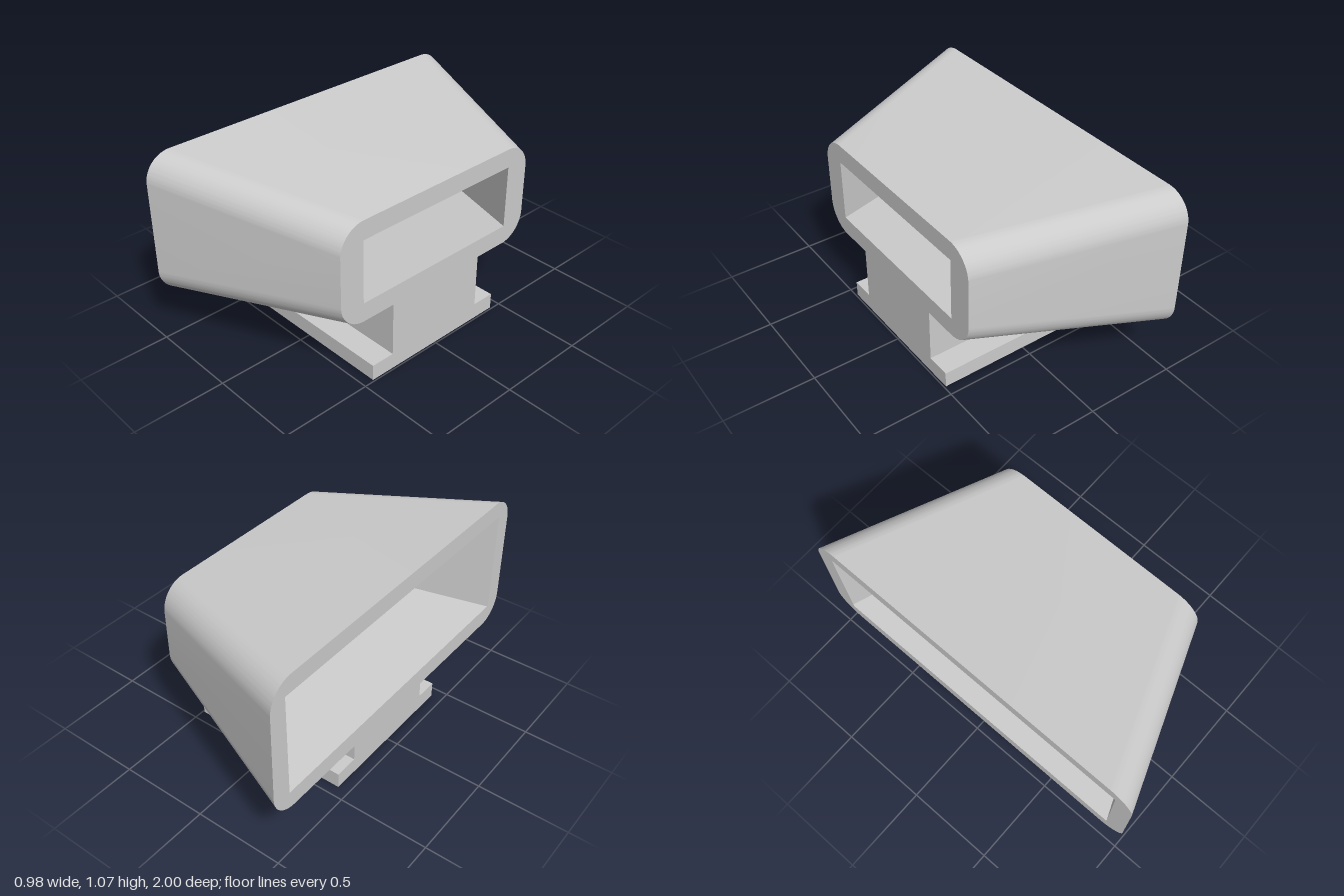
import * as THREE from 'three';
import { toCreasedNormals } from 'three/addons/utils/BufferGeometryUtils.js';

const material = new THREE.MeshStandardMaterial({ color: 0xcccccc });
const X_MIN = -0.49, X_MAX = 0.49;

// Extrude a (z, y) profile along x from x0 to x1; rule(v, atStart) reshapes the ends.
function extrudeAlongX(shape, x0, x1, rule) {
  const geo = new THREE.ExtrudeGeometry(shape, { depth: x1 - x0, bevelEnabled: false, curveSegments: 14 });
  const pos = geo.attributes.position;
  const v = new THREE.Vector3();
  for (let i = 0; i < pos.count; i++) {
    v.fromBufferAttribute(pos, i);
    rule(v, v.z < 0.01);
    pos.setXYZ(i, v.x, v.y, v.z);
  }
  geo.rotateY(Math.PI / 2).translate(x0, 0, 0);
  return toCreasedNormals(geo, 0.5);
}

function roundedRect(w, h, r) {
  const s = new THREE.Shape();
  s.absarc(w - r, h - r, r, 0, Math.PI / 2);
  s.absarc(-w + r, h - r, r, Math.PI / 2, Math.PI);
  s.absarc(-w + r, -h + r, r, Math.PI, Math.PI * 1.5);
  s.absarc(w - r, -h + r, r, Math.PI * 1.5, Math.PI * 2);
  s.closePath();
  return s;
}

export function createModel() {
  const group = new THREE.Group();

  // Tapered hollow sleeve: rounded outside, square-cornered opening
  const w = 0.5, h = 0.175;
  const sleeveShape = roundedRect(0.64, 0.28, 0.145);
  const opening = new THREE.Path();
  opening.moveTo(-w, -h).lineTo(-w, h).lineTo(w, h).lineTo(w, -h).closePath();
  sleeveShape.holes.push(opening);
  const sleeveGeo = extrudeAlongX(sleeveShape, X_MIN, X_MAX, (v, atStart) => {
    // Spread each corner outward at the wide end
    if (atStart) {
      const inner = Math.abs(v.x) < w + 0.001 && Math.abs(v.y) < h + 0.001;
      v.x += Math.sign(v.x) * (inner ? 0.4 : 0.36);
      v.y += Math.sign(v.y) * (inner ? 0.12 : 0.115);
    }
    v.y += 0.675;
  });
  const sleeve = new THREE.Mesh(sleeveGeo, material);
  sleeve.name = 'sleeve';
  group.add(sleeve);

  // T-shaped foot whose top follows the sloping underside of the sleeve
  const flange = 0.44, stem = 0.305, step = 0.09, top = 0.395;
  const footShape = new THREE.Shape([
    [-flange, 0], [flange, 0], [flange, step], [stem, step],
    [stem, top], [-stem, top], [-stem, step], [-flange, step],
  ].map(([z, y]) => new THREE.Vector2(z, y)));
  const footGeo = extrudeAlongX(footShape, -0.435, X_MAX, (v, atStart) => {
    if (atStart && v.y > 0.3) v.y = 0.2865;
  });
  const foot = new THREE.Mesh(footGeo, material);
  foot.name = 'mountingFoot';
  group.add(foot);

  return group;
}
